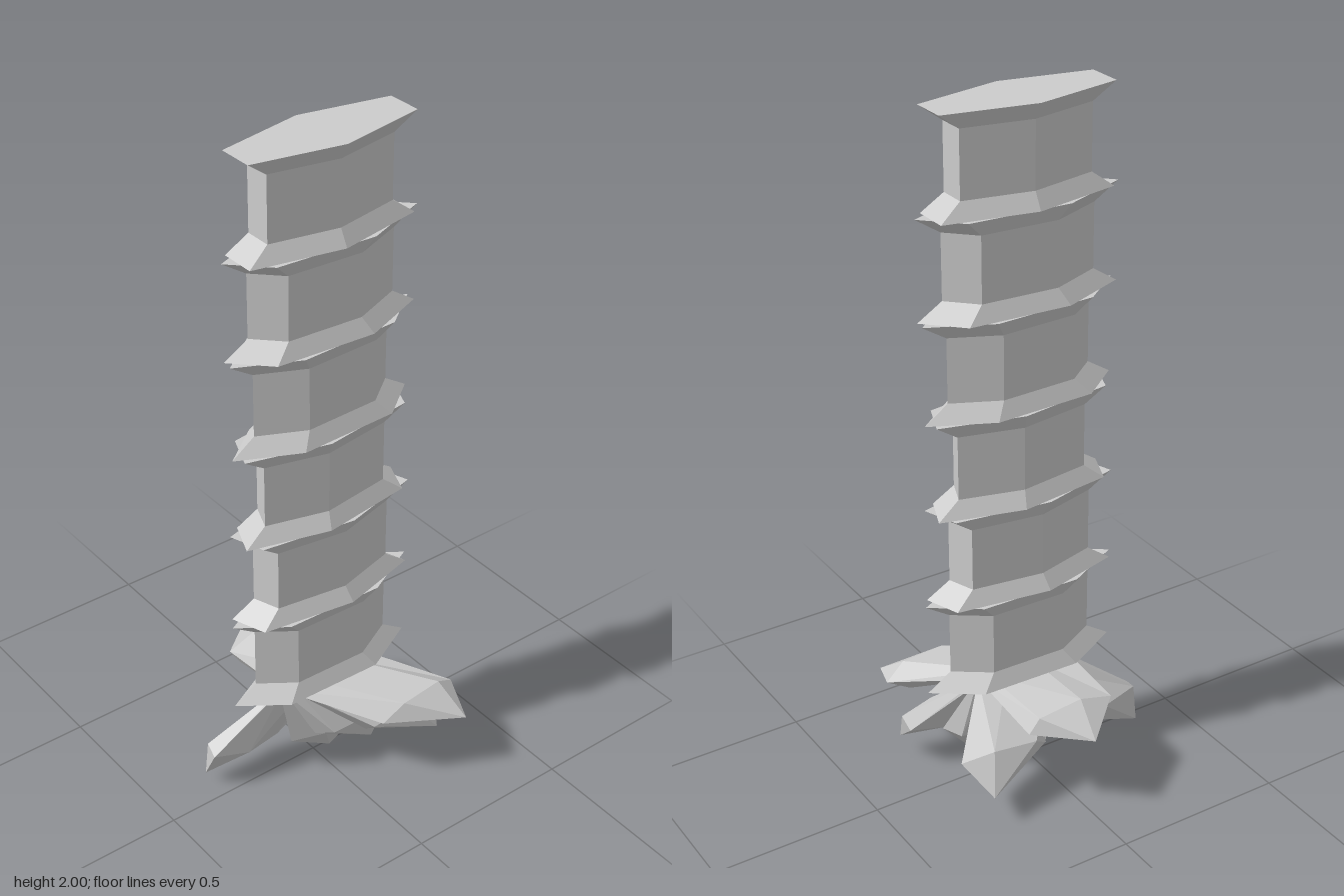
import * as THREE from 'three';

const DEPTH = 2.9; // everything is stretched front to back
const rad = THREE.MathUtils.degToRad;

export function createModel() {
  const model = new THREE.Group();
  const grey = new THREE.MeshStandardMaterial({ color: 0xcccccc, flatShading: true });
  grey.name = 'pale grey';

  const add = (geometry, name, x, y, z, parent) => {
    const mesh = new THREE.Mesh(geometry, grey);
    mesh.name = name;
    mesh.position.set(x, y, z);
    parent.add(mesh);
  };

  // Trunk: six flared hexagonal segments, each turned differently
  const trunk = new THREE.Group();
  trunk.name = 'trunk';
  model.add(trunk);
  const profile = [[0, 0], [0.103, 0], [0.078, 0.047], [0.078, 0.233], [0.103, 0.28], [0, 0.28]]
    .map(([r, y]) => new THREE.Vector2(r, y));
  [34, 53, 8, 24, 41, 0].forEach((turn, i) => {
    const segment = new THREE.LatheGeometry(profile, 6);
    segment.rotateY(-rad(turn - 30));
    segment.scale(1, 1, DEPTH);
    add(segment, 'trunkSegment', 0.012, 0.32 + i * 0.28, -0.017, trunk);
  });

  // Roots: pointed hexagonal spikes fanning out of a flat base line
  const roots = new THREE.Group();
  roots.name = 'roots';
  model.add(roots);
  const origin = new THREE.Vector3(0.012, 0.312, -0.012);
  const tips = [
    [-0.347, 0.255, 0], [-0.24, 0.10, -0.26], [0.2, 0.065, -0.31], [0.345, 0.21, -0.29],
    [-0.075, 0.04, 0.335], [0.015, 0.005, -0.05], [0.087, 0.037, -0.15],
  ];
  for (const tip of tips) {
    const dir = new THREE.Vector3(...tip).sub(origin);
    dir.z /= DEPTH;
    const length = dir.length();
    const root = new THREE.LatheGeometry([
      new THREE.Vector2(0.052, 0),
      new THREE.Vector2(0.049, length * 0.67),
      new THREE.Vector2(0, length),
    ], 6);
    root.rotateY(rad(19));
    root.applyQuaternion(new THREE.Quaternion().setFromUnitVectors(
      new THREE.Vector3(0, 1, 0), dir.normalize()));
    // Pinch the base ring to a thin line
    const p = root.attributes.position;
    for (let i = 0; i < p.count; i += 3) {
      p.setXY(i, p.getX(i) * 0.2, p.getY(i) * 0.15);
    }
    root.scale(1, 1, DEPTH);
    root.computeVertexNormals();
    add(root, 'rootSpike', origin.x, origin.y, origin.z, roots);
  }
  return model;
}
